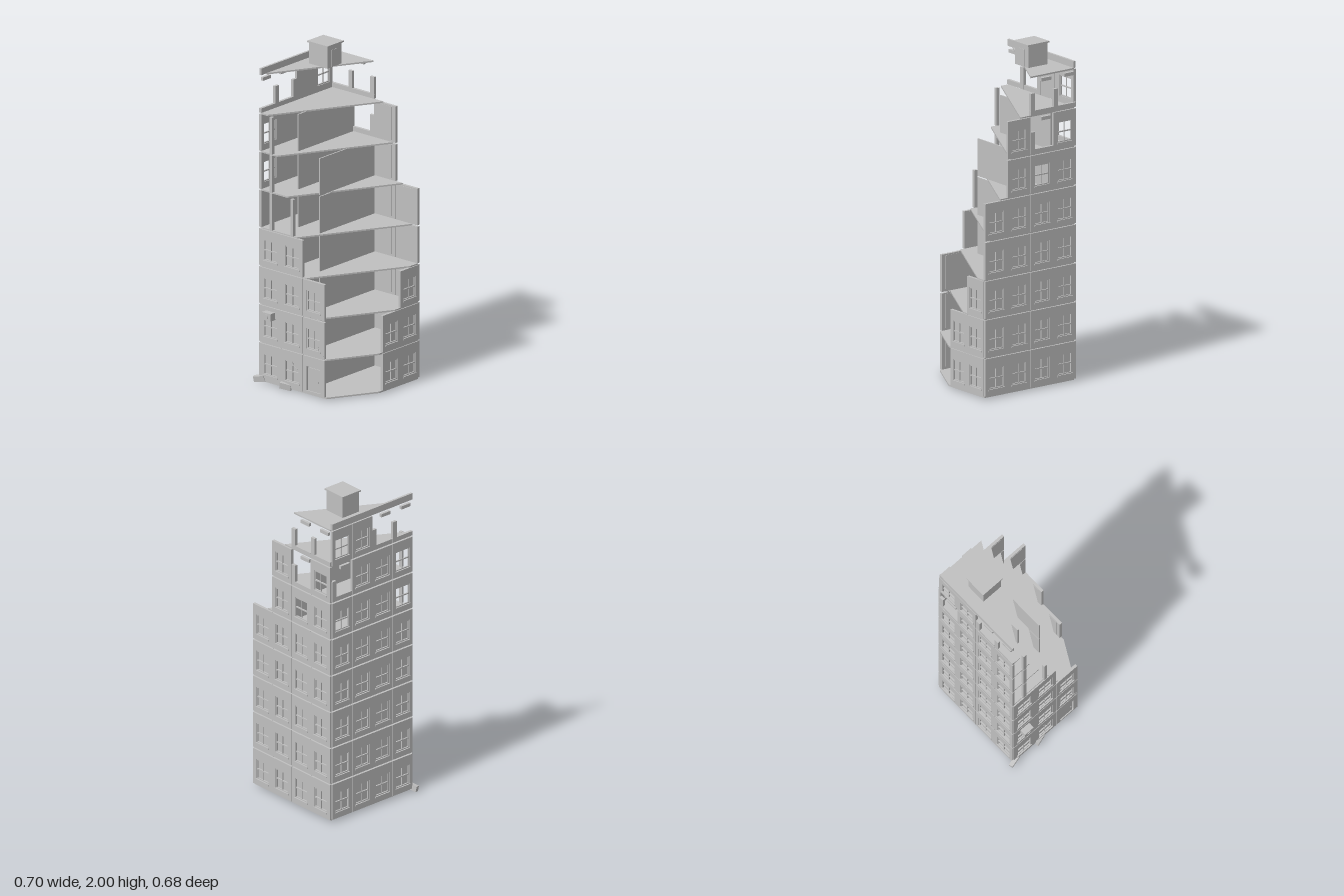
import * as THREE from 'three';

const concrete = new THREE.MeshStandardMaterial({ color: 0xc0c0c0 });
concrete.name = 'grey concrete';

const STOREY = 0.23, BASE = 0.02, H = 0.221, T = 0.017;
const floorY = k => BASE + STOREY * k;
const colX = i => -0.235 + 0.165 * i;   // front and back bays
const colZ = i => -0.25 + 0.155 * i;    // side bays, counted from the back

function box(parent, name, w, h, d, x, y, z) {
  const m = new THREE.Mesh(new THREE.BoxGeometry(w, h, d), concrete);
  m.name = name;
  m.position.set(x, y, z);
  parent.add(m);
  return m;
}

function rect(PathType, x0, y0, x1, y1) {
  const p = new PathType();
  p.moveTo(x0, y0);
  p.lineTo(x1, y0);
  p.lineTo(x1, y1);
  p.lineTo(x0, y1);
  p.closePath();
  return p;
}

// One wall bay, outer face towards +z.
// kinds: w = window with inner board, o = see-through window, d = door, b = broken
function wallBay(width, kind) {
  const g = new THREE.Group();
  const hw = width / 2;
  if (kind === 'b') {
    g.name = 'brokenBay';
    box(g, 'brokenSill', width, 0.027, T, 0, 0.0135, T / 2);
    box(g, 'brokenPost', 0.03, 0.13, T, -hw + 0.016, 0.065, T / 2);
    box(g, 'lintelPiece', 0.07, 0.02, T, hw - 0.05, 0.2, T / 2);
    return g;
  }
  g.name = kind === 'd' ? 'doorBay' : 'windowBay';
  const y0 = kind === 'd' ? 0.014 : 0.037, y1 = 0.161, r = 0.053;
  const shape = rect(THREE.Shape, -hw, 0, hw, H);
  shape.holes.push(rect(THREE.Path, -r, y0, r, y1));
  const wall = new THREE.Mesh(
    new THREE.ExtrudeGeometry(shape, { depth: T, bevelEnabled: false }), concrete);
  wall.name = 'wallPanel';
  g.add(wall);
  const cy = (y0 + y1) / 2, h = y1 - y0;
  if (kind === 'd') {
    box(g, 'door', 0.092, h - 0.008, 0.006, 0, cy - 0.004, 0.008);
    box(g, 'doorHandle', 0.005, 0.012, 0.006, 0.035, cy - 0.01, 0.013);
  } else {
    // Sash frame and glazing bars
    for (const s of [-1, 1]) {
      box(g, 'sashSide', 0.006, h, 0.008, s * (r - 0.003), cy, 0.009);
      box(g, 'sashRail', 2 * r, 0.006, 0.008, 0, cy + s * (h / 2 - 0.003), 0.009);
    }
    box(g, 'middleRail', 2 * r, 0.007, 0.008, 0, cy, 0.009);
    box(g, 'glazingBar', 0.004, h, 0.006, 0, cy, 0.009);
    box(g, 'windowSill', 0.115, 0.009, 0.006, 0, y0 - 0.0045, T + 0.001);
  }
  if (kind !== 'o') box(g, 'innerBoard', 0.107, 0.2, 0.004, 0, 0.113, 0);
  return g;
}

// Bays per storey; a space leaves the bay empty
const WALLS = {
  front: { rows: ['wwd', 'www', 'www', 'ww'],
    place: i => [colX(i), 0.279, 0], width: 0.163 },
  back: { rows: ['wwww', 'wwww', 'wwww', 'wwww', 'wwww', 'wow', 'obw', 'bb'],
    place: i => [colX(i), -0.322, Math.PI], width: 0.163 },
  left: { rows: ['wwww', 'wwww', 'wwww', 'wwww', 'wwww', 'owwo', 'bwwo', 'owbb'],
    place: i => [-0.307, colZ(i), -Math.PI / 2], width: 0.153 },
  right: { rows: ['ww', 'ww', 'w'],
    place: i => [0.329, colZ(i), Math.PI / 2], width: 0.153 },
};

// Floor outline cut off by a slanting line x + z / 1.82 = c
function slab(k) {
  const c = 0.342 - 0.074 * Math.max(0, k - 1);
  const x0 = -0.31, x1 = 0.34, z0 = -0.328, z1 = 0.287, s = 1.82;
  const pts = [[x0, z0]];
  const backX = c - z0 / s;
  if (backX > x1) pts.push([x1, z0], [x1, (c - x1) * s]);
  else pts.push([backX, z0]);
  const frontX = c - z1 / s;
  if (frontX > x0) pts.push([frontX, z1], [x0, z1]);
  else pts.push([x0, (c - x0) * s]);
  const shape = new THREE.Shape(pts.map(([x, z]) => new THREE.Vector2(x, -z)));
  const geo = new THREE.ExtrudeGeometry(shape, { depth: 0.009, bevelEnabled: false });
  geo.rotateX(-Math.PI / 2);
  const m = new THREE.Mesh(geo, concrete);
  m.name = k === 8 ? 'roofSlab' : 'floorSlab';
  m.position.y = floorY(k) - 0.0065;
  return m;
}

// Jagged crack as a chain of thin strips on the front wall
function crack(parent, pts) {
  for (let i = 1; i < pts.length; i++) {
    const [ax, ay] = pts[i - 1], [bx, by] = pts[i];
    const m = box(parent, 'crack', Math.hypot(bx - ax, by - ay) + 0.002, 0.004, 0.003,
      (ax + bx) / 2, (ay + by) / 2, 0.297);
    m.rotation.z = Math.atan2(by - ay, bx - ax);
  }
}

export function createModel() {
  const model = new THREE.Group();
  model.name = 'ruinedBuilding';

  // Floors and roof
  for (let k = 0; k <= 8; k++) model.add(slab(k));

  // Outer walls
  for (const [side, { rows, place, width }] of Object.entries(WALLS)) {
    const wall = new THREE.Group();
    wall.name = side + 'Wall';
    rows.forEach((row, k) => [...row].forEach((kind, i) => {
      const [x, z, turn] = place(i);
      const bay = wallBay(width, kind);
      bay.position.set(x, floorY(k) + 0.004, z);
      bay.rotation.y = turn;
      wall.add(bay);
    }));
    model.add(wall);
  }

  // Inner partitions
  for (let k = 0; k < 7; k++) {
    const y = floorY(k) + STOREY / 2;
    box(model, 'partition', 0.009, 0.222, 0.472, -0.15, y, -0.084);
    if (k < 6) box(model, 'partition', 0.008, 0.222, 0.472, 0.014, y, -0.084);
  }

  // Posts left standing along the open front
  for (const [x, k] of [[-0.23, 4], [-0.07, 4], [-0.23, 5], [-0.23, 6]])
    box(model, 'frontPost', 0.02, 0.222, 0.018, x, floorY(k) + STOREY / 2, 0.287);

  // Parapet and roof hut
  box(model, 'parapet', 0.014, 0.04, 0.615, -0.316, 1.881, -0.018);
  box(model, 'roofHut', 0.138, 0.13, 0.125, -0.17, 1.926, -0.108);
  box(model, 'roofHutCap', 0.156, 0.009, 0.14, -0.17, 1.9955, -0.108);
  box(model, 'roofHutDoor', 0.004, 0.1, 0.06, -0.1, 1.915, -0.108);

  // Air conditioner on the front
  box(model, 'airConditioner', 0.066, 0.045, 0.042, -0.232, 0.43, 0.314);
  const fan = new THREE.Mesh(new THREE.CylinderGeometry(0.014, 0.014, 0.005, 16), concrete);
  fan.name = 'airConditionerFan';
  fan.rotation.x = Math.PI / 2;
  fan.position.set(-0.232, 0.43, 0.337);
  model.add(fan);

  // Bent reinforcing bars at the broken floor edges
  for (const x of [0.05, 0.125])
    for (let i = 0; i < 3; i++)
      box(model, 'reinforcingBar', 0.026, 0.003, 0.003, x, floorY(2) - 0.002, 0.27 + i * 0.009);

  // Wall cracks and fallen rubble
  crack(model, [[-0.09, 0.21], [-0.07, 0.19], [-0.06, 0.165], [-0.03, 0.15]]);
  crack(model, [[0.11, 0.34], [0.13, 0.32], [0.135, 0.295], [0.17, 0.275]]);
  const r1 = box(model, 'rubble', 0.07, 0.035, 0.024, -0.315, 0.03, 0.297);
  r1.rotation.set(0.1, 0.25, 0.15);
  const r2 = box(model, 'rubble', 0.07, 0.036, 0.022, -0.115, 0.028, 0.298);
  r2.rotation.set(0.1, 0.3, -0.15);

  return model;
}
